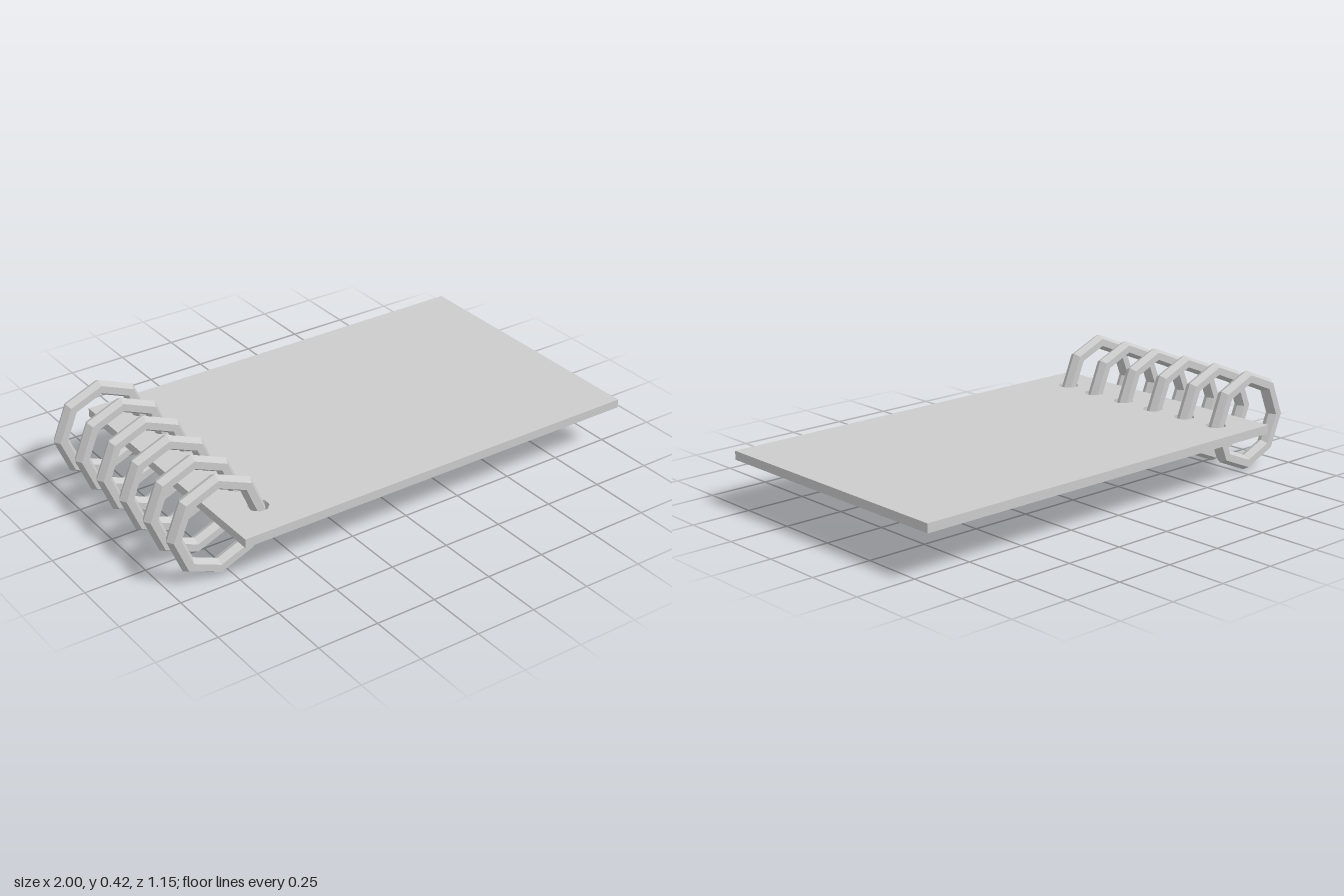
import * as THREE from 'three';

const material = new THREE.MeshStandardMaterial({ color: 0xcccccc, flatShading: true });

// Positions of the rings along z, with the x of each punched hole
const RINGS = [
  [-0.437, -0.612], [-0.265, -0.612], [-0.096, -0.604],
  [0.076, -0.604], [0.25, -0.605], [0.412, -0.61],
];

// Flat page with one small polygonal hole per ring
function makePage() {
  const shape = new THREE.Shape();
  shape.moveTo(-0.77, -0.575);
  shape.lineTo(1, -0.575);
  shape.lineTo(1, 0.575);
  shape.lineTo(-0.77, 0.575);
  shape.closePath();
  for (const [z, x] of RINGS) {
    const points = [];
    for (let i = 0; i < 8; i++) {
      const a = -(i + 0.5) * Math.PI / 4;
      points.push(new THREE.Vector2(x + 0.042 * Math.cos(a), -z + 0.042 * Math.sin(a)));
    }
    shape.holes.push(new THREE.Path(points));
  }
  const geometry = new THREE.ExtrudeGeometry(shape, { depth: 0.036, bevelEnabled: false });
  geometry.rotateX(-Math.PI / 2);
  const page = new THREE.Mesh(geometry, material);
  page.name = 'page';
  page.position.y = 0.186;
  return page;
}

export function createModel() {
  const model = new THREE.Group();
  model.name = 'ringBoundPad';
  model.add(makePage());

  // Octagonal binding rings with a hexagonal section
  const ringGeometry = new THREE.TorusGeometry(0.178, 0.031, 6, 8);
  RINGS.forEach(([z], i) => {
    const ring = new THREE.Mesh(ringGeometry, material);
    ring.name = `bindingRing${i + 1}`;
    ring.position.set(-0.789, 0.209, z);
    model.add(ring);
  });
  return model;
}
